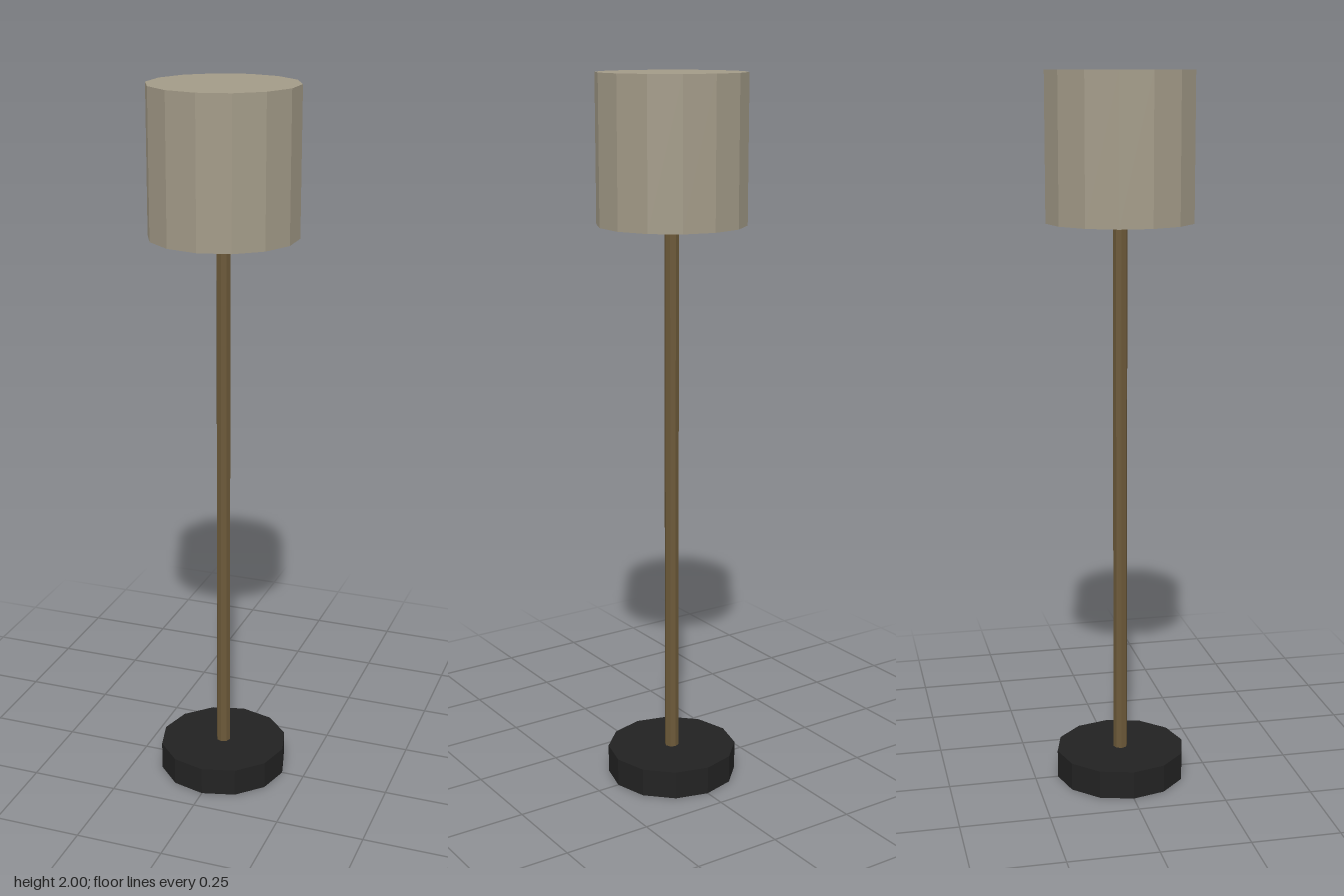
import * as THREE from 'three';

export function createModel() {
  const lamp = new THREE.Group();
  lamp.name = 'floorLamp';

  const material = (name, color) => {
    const m = new THREE.MeshStandardMaterial({ color, flatShading: true });
    m.name = name;
    return m;
  };

  // Upright faceted cylinder from y = bottom to y = top
  const addCylinder = (name, radius, bottom, top, sides, mat) => {
    const geometry = new THREE.CylinderGeometry(radius, radius, top - bottom, sides);
    const mesh = new THREE.Mesh(geometry, mat);
    mesh.name = name;
    mesh.position.y = (bottom + top) / 2;
    lamp.add(mesh);
  };

  addCylinder('base', 0.185, 0, 0.08, 12, material('blackMetal', 0x222222));
  addCylinder('pole', 0.02, 0.08, 1.6, 8, material('darkBrass', 0x6b5838));
  addCylinder('shade', 0.204, 1.6, 2, 14, material('beigeFabric', 0xa29a87));

  return lamp;
}
